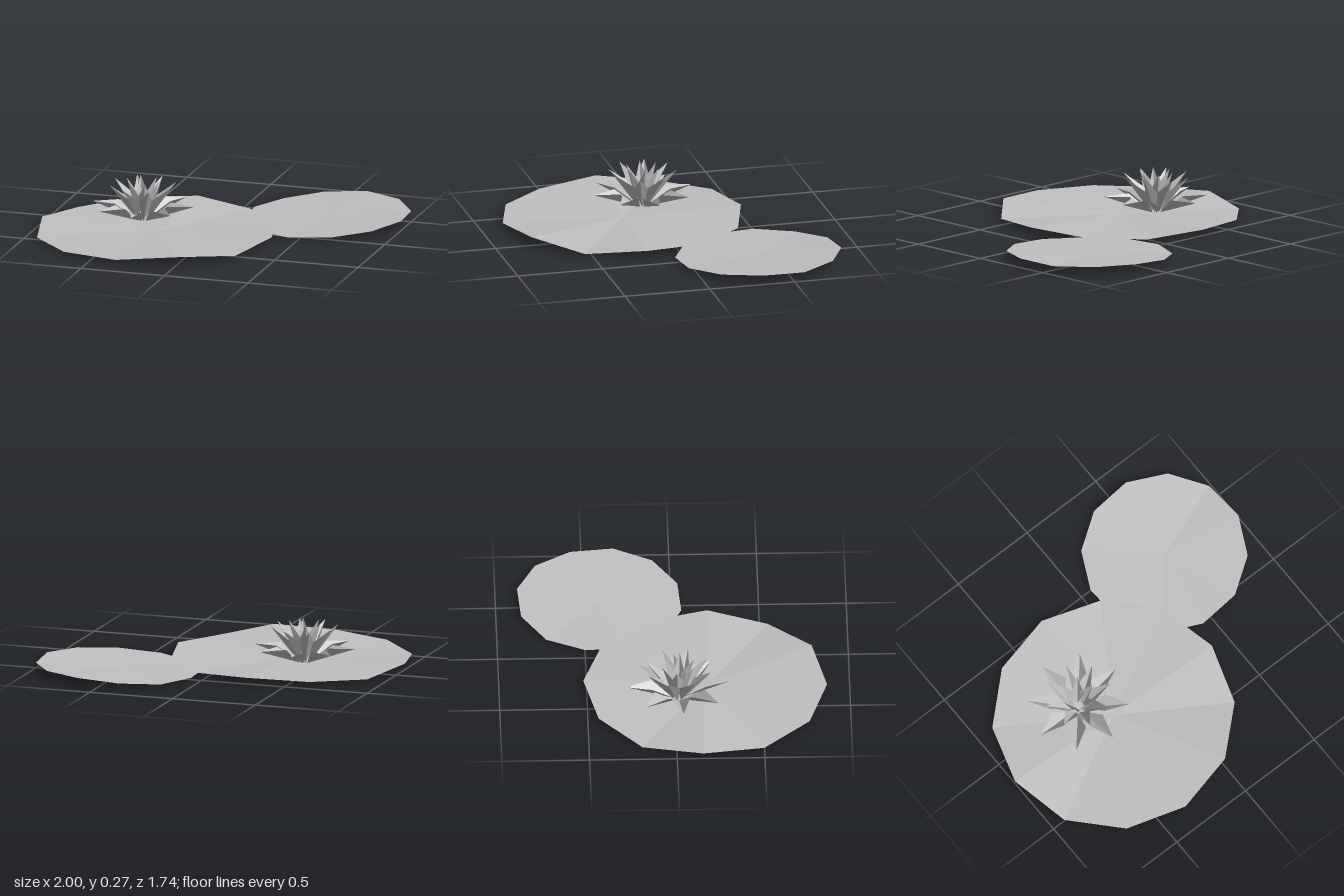
import * as THREE from 'three';

const grey = new THREE.MeshStandardMaterial({ color: 0xc0c0c0, flatShading: true, side: THREE.DoubleSide });
grey.name = 'plain grey';

function facetMesh(name, points, index) {
  const geo = new THREE.BufferGeometry();
  geo.setAttribute('position', new THREE.Float32BufferAttribute(points.flat(), 3));
  geo.setIndex(index);
  const flat = geo.toNonIndexed();
  flat.computeVertexNormals();
  const mesh = new THREE.Mesh(flat, grey);
  mesh.name = name;
  return mesh;
}

// Thin round leaf: a fan from the hub to a wavy twelve-sided rim
function lilyPad(name, x, z, radius, turn, hubY, rimY) {
  const n = rimY.length, points = [[0, hubY, 0]], index = [];
  rimY.forEach((y, i) => {
    const a = turn + (i / n) * Math.PI * 2;
    points.push([Math.cos(a) * radius, y, Math.sin(a) * radius]);
    index.push(0, ((i + 1) % n) + 1, i + 1);
  });
  const pad = facetMesh(name, points, index);
  pad.position.set(x, 0, z);
  return pad;
}

// Pointed petal folded along its keel, leaning out along +x
function petal(name, tipR, tipY, width, lift, inward) {
  const baseR = 0.03, baseY = 0.03, t = 0.52;
  const kr = baseR + (tipR - baseR) * t, ky = baseY + (tipY - baseY) * t;
  return facetMesh(name, [
    [baseR, baseY, 0],
    [kr, ky, 0],
    [tipR, tipY, 0],
    [kr - inward, ky + lift, width],
    [kr - inward, ky + lift, -width],
  ], [0, 3, 1, 0, 1, 4, 1, 3, 2, 1, 2, 4]);
}

export function createModel() {
  const model = new THREE.Group();
  model.name = 'waterLily';

  model.add(lilyPad('largePad', -0.306, 0.176, 0.695, 0.04, 0.012,
    [0.045, 0.02, 0.055, 0.03, 0.02, 0.012, 0.035, 0.008, 0.025, 0.04, 0.022, 0.03]));
  model.add(lilyPad('smallPad', 0.53, -0.408, 0.475, 0.19, 0.012,
    [0.052, 0.042, 0.025, 0.01, 0, 0.005, 0.01, 0.01, 0.03, 0.048, 0.05, 0.045]));

  // Three rings of petals, steeper toward the middle
  const flower = new THREE.Group();
  flower.name = 'flower';
  flower.position.set(-0.44, 0, 0.02);
  const rings = [
    { name: 'outerPetal', count: 8, turn: -0.08, r: 0.295, y: 0.122, width: 0.05, lift: 0.05, inward: 0.015 },
    { name: 'middlePetal', count: 8, turn: 0.31, r: 0.195, y: 0.245, width: 0.042, lift: 0.015, inward: 0.035 },
    { name: 'innerPetal', count: 6, turn: 0.1, r: 0.1, y: 0.268, width: 0.036, lift: 0.01, inward: 0.03 },
  ];
  for (const ring of rings) {
    for (let i = 0; i < ring.count; i++) {
      const p = petal(ring.name, ring.r, ring.y, ring.width, ring.lift, ring.inward);
      p.rotation.y = -(ring.turn + (i / ring.count) * Math.PI * 2);
      flower.add(p);
    }
  }
  model.add(flower);
  return model;
}
